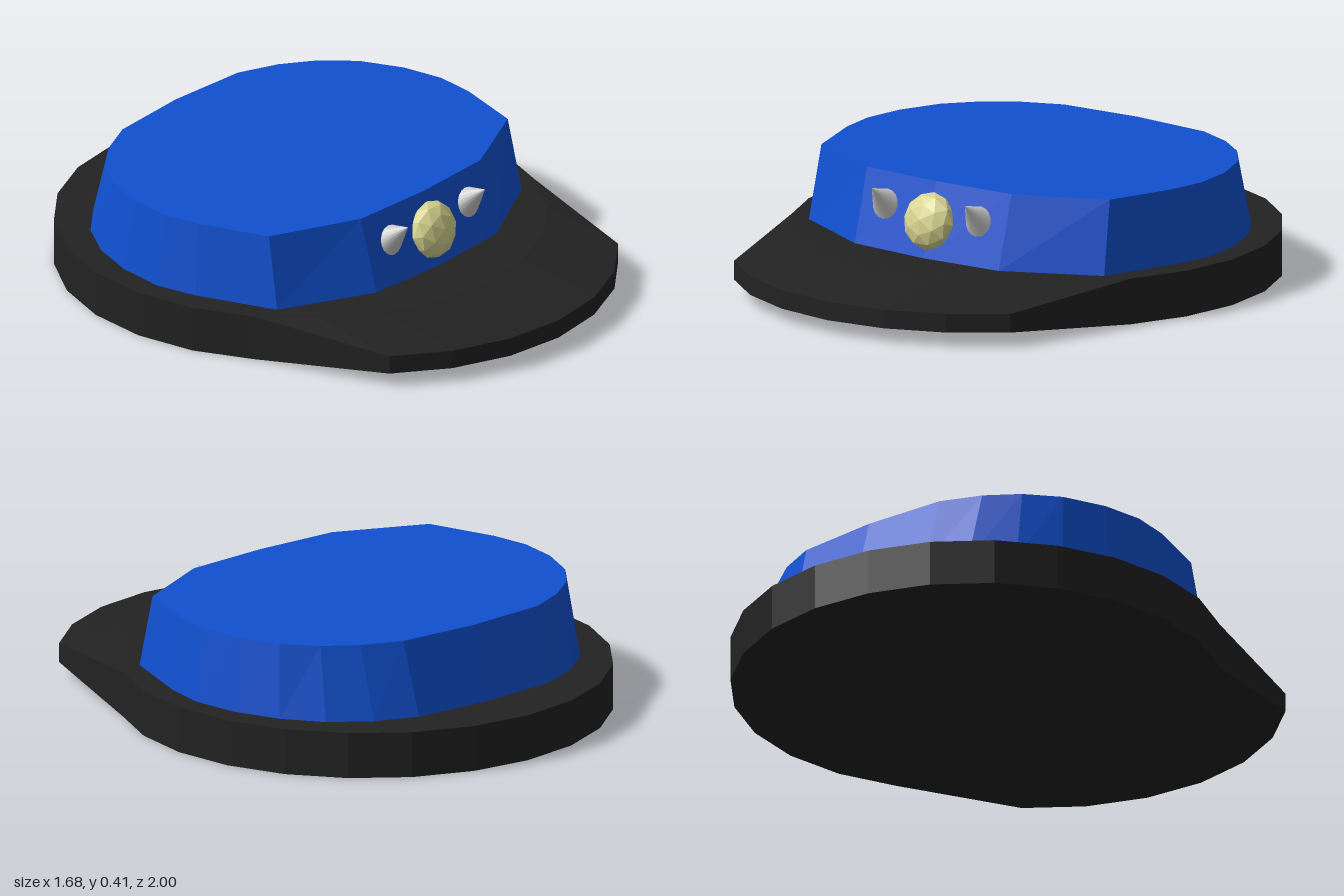
import * as THREE from 'three';

const paint = (color) => new THREE.MeshStandardMaterial({ color, flatShading: true });

// Closed solid through rings of [x, y, z], bottom to top, with fan caps
function loft(rings) {
  const pos = [];
  const tri = (a, b, c) => {
    const u = new THREE.Vector3(...a), v = new THREE.Vector3(...b), w = new THREE.Vector3(...c);
    const area = v.clone().sub(u).cross(w.clone().sub(u)).length();
    if (area > 1e-7) pos.push(...a, ...b, ...c);
  };
  const n = rings[0].length, last = rings[rings.length - 1];
  const middle = (ring) => [0, 1, 2].map((k) => ring.reduce((s, p) => s + p[k], 0) / n);
  const low = middle(rings[0]), high = middle(last);
  for (let i = 0; i < n; i++) {
    const j = (i + 1) % n;
    for (let r = 0; r < rings.length - 1; r++) {
      const a = rings[r], b = rings[r + 1];
      tri(a[i], a[j], b[j]);
      tri(a[i], b[j], b[i]);
    }
    tri(low, rings[0][j], rings[0][i]);
    tri(high, last[i], last[j]);
  }
  const geo = new THREE.BufferGeometry();
  geo.setAttribute('position', new THREE.Float32BufferAttribute(pos, 3));
  geo.computeVertexNormals();
  return geo;
}

// Full ring from the half outline (front to back, x >= 0), mirrored in x
function mirrored(half, y) {
  const back = half.slice(1, -1).reverse().map(([x, z]) => [-x, z]);
  return [...half, ...back].map(([x, z]) => [x, y, z]);
}

export function createModel() {
  const group = new THREE.Group();
  const add = (name, geometry, material) => {
    const mesh = new THREE.Mesh(geometry, material);
    mesh.name = name;
    group.add(mesh);
    return mesh;
  };

  // Round brim whose front points are pulled forward and thinned into a visor
  const brimRing = (y, visorY) => Array.from({ length: 24 }, (_, i) => {
    const a = (i / 24) * Math.PI * 2;
    const isVisor = visorY !== undefined && (i <= 3 || i >= 21);
    return [0.84 * Math.sin(a), isVisor ? visorY : y, 0.84 * Math.cos(a) - 0.16 + (isVisor ? 0.32 : 0)];
  });
  add('brim', loft([brimRing(0), brimRing(0, 0.05), brimRing(0.16, 0.115), brimRing(0.16)]), paint(0x222222));

  // Tapered crown with a flat top
  const crownBase = [[0, 0.47], [0.31, 0.45], [0.635, 0.285], [0.73, 0], [0.755, -0.15], [0.73, -0.32],
    [0.665, -0.48], [0.57, -0.61], [0.44, -0.71], [0.29, -0.77], [0, -0.79]];
  const crownTop = [[0, 0.395], [0.31, 0.38], [0.62, 0.235], [0.7, -0.01], [0.72, -0.15], [0.7, -0.3],
    [0.64, -0.45], [0.55, -0.56], [0.44, -0.64], [0.3, -0.7], [0, -0.72]];
  add('crown', loft([mirrored(crownBase, 0.16), mirrored(crownTop, 0.415)]), paint(0x1050d0));

  // Faceted badge on the front
  const badge = add('badge', new THREE.IcosahedronGeometry(0.1, 1), paint(0xd8d490));
  badge.scale.z = 0.6;
  badge.rotation.x = -0.27;
  badge.position.set(0, 0.283, 0.435);

  // Studs: cones with the base on the sloping wall and the tip leaning up
  const studMaterial = new THREE.MeshStandardMaterial({ color: 0xcccccc });
  for (const side of [1, -1]) {
    const lean = new THREE.Matrix4().makeBasis(
      new THREE.Vector3(1, 0, 0), new THREE.Vector3(0, 0.07, 0.075), new THREE.Vector3(0, -0.96, 0.29));
    lean.setPosition(side * 0.2, 0.31, 0.422);
    const cone = new THREE.ConeGeometry(0.052, 1, 16).translate(0, 0.5, 0).applyMatrix4(lean);
    add(side > 0 ? 'leftStud' : 'rightStud', cone, studMaterial);
  }
  return group;
}
